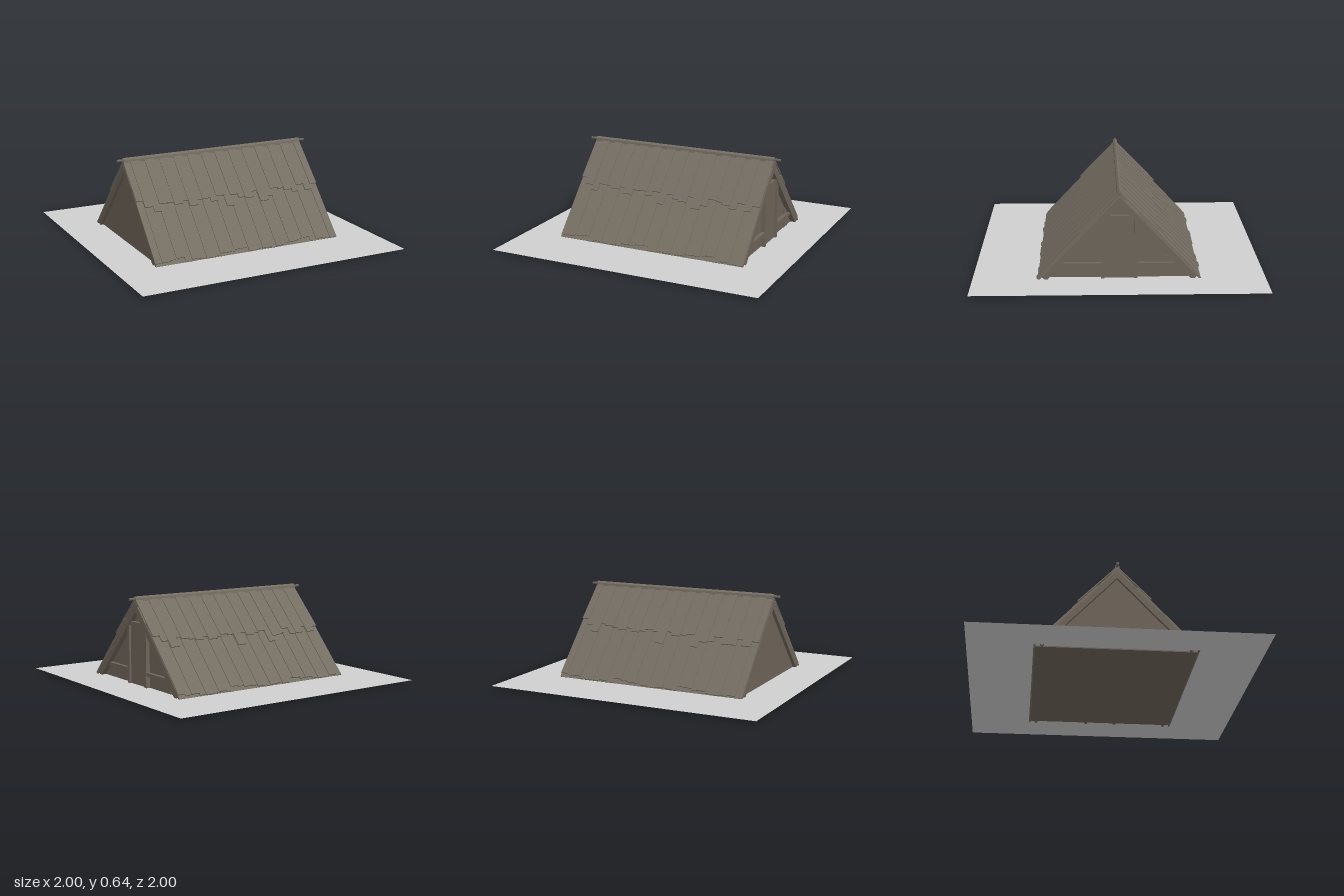
import * as THREE from 'three';

const flat = (name, color) => {
  const m = new THREE.MeshStandardMaterial({ color });
  m.name = name;
  return m;
};

export function createModel() {
  const model = new THREE.Group();
  model.name = 'plankHut';
  const roofWood = flat('weathered roof wood', 0x746d62);
  const timber = flat('timber', 0x6e655a);
  const groundGrey = flat('ground grey', 0xcfcfcf);

  const add = (parent, name, geo, mat, x = 0, y = 0, z = 0) => {
    const m = new THREE.Mesh(geo, mat);
    m.name = name;
    m.position.set(x, y, z);
    parent.add(m);
    return m;
  };
  const box = (parent, name, mat, w, h, d, x, y, z) =>
    add(parent, name, new THREE.BoxGeometry(w, h, d), mat, x, y, z);
  // Extrude a z/y outline along x, from x0 to x1
  const prism = (parent, name, mat, pts, x0, x1) => {
    const shape = new THREE.Shape(pts.map(([z, y]) => new THREE.Vector2(-z, y)));
    const geo = new THREE.ExtrudeGeometry(shape, { depth: x1 - x0, bevelEnabled: false });
    geo.rotateY(Math.PI / 2);
    return add(parent, name, geo, mat, x0);
  };

  // Square ground sheet
  const sheet = new THREE.PlaneGeometry(2, 2).rotateX(-Math.PI / 2);
  groundGrey.side = THREE.DoubleSide;
  add(model, 'ground', sheet, groundGrey, 0, 0.012, 0);

  // Closed body: floor and both gable walls
  prism(model, 'body', timber, [[-0.545, 0.004], [0, 0.588], [0.545, 0.004]], -0.69, 0.675);

  // Roof slopes: local z runs down the slope, local y points outwards
  const ridgeY = 0.615, pitch = Math.atan2(0.6, 0.56), half = 0.715;
  const count = 26, pitchX = (2 * half) / count;
  const upperEnds = [
    [.385, .345, .315, .355, .355, .34, .355, .32, .35, .35, .33, .355, .29,
      .35, .33, .32, .355, .29, .315, .355, .35, .335, .32, .355, .32, .35]
      .map((y) => (ridgeY + 0.01 - y) / Math.sin(pitch)),
    [.27, .3, .265, .3, .3, .265, .29, .3, .33, .265, .27, .28, .26,
      .33, .265, .26, .27, .28, .26, .275, .265, .26, .25, .3, .26, .23]
      .map((z) => (z - 0.01) / Math.cos(pitch)),
  ];
  const lowerDrop = [0.02, 0.02, 0.03, 0.035, 0, 0.01, 0.005, 0, 0.006];

  ['front', 'back'].forEach((side, k) => {
    const turn = new THREE.Group();
    turn.name = side + 'Roof';
    turn.rotation.y = k * Math.PI;
    const slope = new THREE.Group();
    slope.name = side + 'Slope';
    slope.position.y = ridgeY;
    slope.rotation.x = pitch;
    turn.add(slope);
    model.add(turn);

    box(slope, 'roofDeck', roofWood, 2 * half, 0.012, 0.82, 0, -0.01, 0.41);
    for (let i = 0; i < count; i++) {
      const x = (k ? -1 : 1) * (-half + (i + 0.5) * pitchX);
      const raised = i % 2;
      const edge = i === 0 || i === count - 1;
      const w = raised && !edge ? pitchX + 0.012 : pitchX;

      // Lower course
      const end = 0.82 - lowerDrop[(i + k * 4) % lowerDrop.length];
      box(slope, 'lowerPlank', roofWood, w, 0.008, end - 0.2, x, raised * 0.005 - 0.002, (end + 0.2) / 2);

      // Upper course, lifted at its lower end where it overlaps
      const len = upperEnds[k][i];
      const plank = box(slope, 'upperPlank', roofWood, w, 0.008, len, x, 0.007 + raised * 0.005, len / 2);
      plank.rotation.x = -0.022;
    }
    // Rafters closing the roof ends
    for (const s of [-1, 1])
      box(slope, 'rafter', timber, 0.045, 0.04, 0.79, s * (half - 0.0235), -0.035, 0.395);
  });

  // Ridge cap and the pole through it
  prism(model, 'ridgeCap', roofWood,
    [[-0.018, 0.6], [-0.014, 0.63], [0, 0.642], [0.014, 0.63], [0.018, 0.6]], -half, half);
  add(model, 'ridgePole', new THREE.CylinderGeometry(0.01, 0.01, 1.52, 8).rotateZ(Math.PI / 2),
    timber, 0, 0.624, 0);

  // Framed gable with door
  const gable = new THREE.Group();
  gable.name = 'doorGable';
  model.add(gable);
  box(gable, 'door', timber, 0.016, 0.42, 0.22, 0.682, 0.22, 0);
  box(gable, 'collarBeam', timber, 0.035, 0.028, 0.22, 0.69, 0.445, 0);
  for (const s of [-1, 1]) {
    box(gable, 'doorPost', timber, 0.03, 0.425, 0.024, 0.69, 0.2175, s * 0.112);
    box(gable, 'rail', timber, 0.028, 0.026, 0.29, 0.689, 0.108, s * 0.265);
  }
  box(gable, 'wallBoard', timber, 0.008, 0.15, 0.075, 0.678, 0.09, -0.357);

  return model;
}
